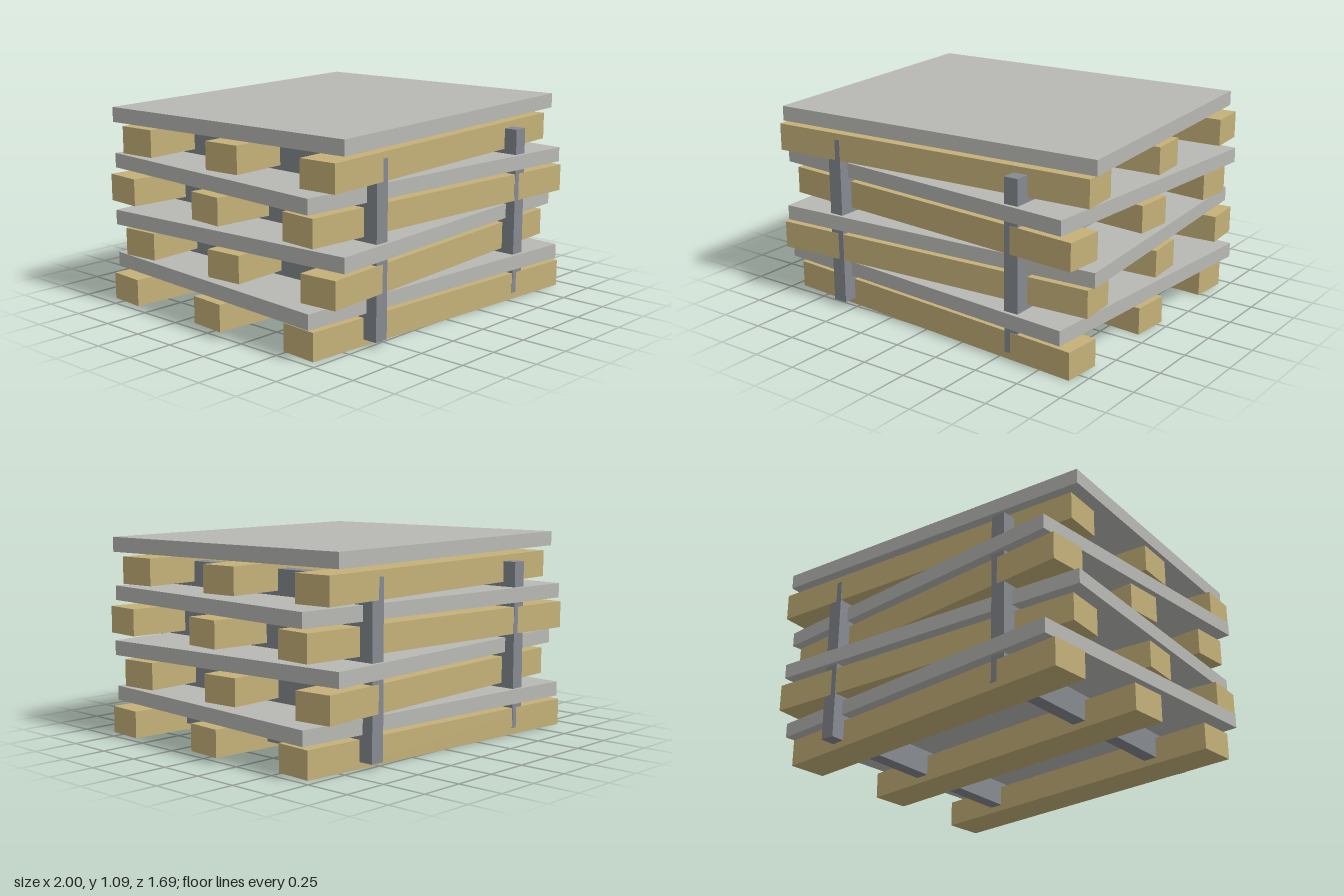
import * as THREE from 'three';

export function createModel() {
  const model = new THREE.Group();
  model.name = 'slabStack';

  const material = (name, color) => {
    const m = new THREE.MeshStandardMaterial({ color });
    m.name = name;
    return m;
  };
  const concrete = material('concrete grey', 0xb8b8b4);
  const wood = material('timber', 0xc4b078);
  const steel = material('strap steel', 0x868a90);

  const addBox = (parent, name, mat, [w, h, d], [x, y, z], turn = 0) => {
    const mesh = new THREE.Mesh(new THREE.BoxGeometry(w, h, d), mat);
    mesh.name = name;
    mesh.position.set(x, y, z);
    mesh.rotation.y = turn;
    parent.add(mesh);
  };

  // Four layers, each three timbers under a slab, twisted alternately
  const pitch = 0.279;
  for (let i = 0; i < 4; i++) {
    const layer = new THREE.Group();
    layer.name = `layer${i + 1}`;
    layer.position.y = i * pitch;
    const turn = i % 2 ? 0.07 : -0.07;
    for (const z of [-0.657, 0, 0.657]) {
      addBox(layer, 'timber', wood, [1.89, 0.147, 0.213], [0, 0.0735, z], turn);
    }
    addBox(layer, 'slab', concrete, [1.895, 0.08, 1.564], [0, 0.214, 0], turn);
    model.add(layer);
  }

  // Flat straps running front to back through the whole stack
  for (const x of [-0.573, 0.573]) {
    addBox(model, 'strap', steel, [0.08, 0.915, 1.607], [x, 0.4925, 0]);
  }
  return model;
}
